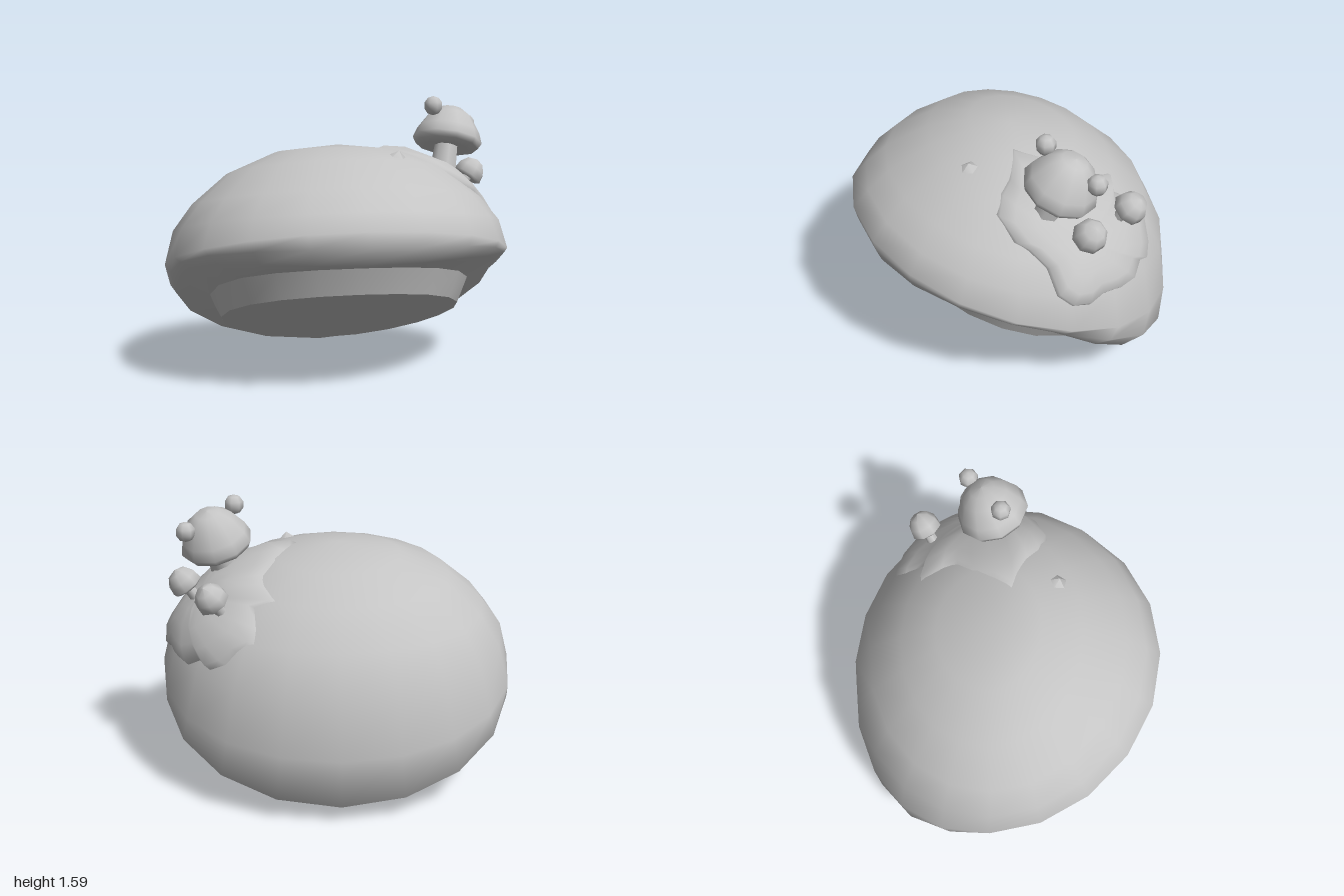
import * as THREE from 'three';
import { mergeVertices } from 'three/addons/utils/BufferGeometryUtils.js';

const SIDES = 20;
const ring = (x, front, side, back, widen = 0) => ({ x, front, side, back, widen });
const pole = (z, y) => ring(0, [z, y], [z, y], [z, y]);

// Saddle-bent rings, each given by its [z, y] at the front, side and back
const baseRing = ring(0.69, [0.65, 0.56], [0.06, 0.34], [-0.53, 0.05]);
const openingRing = ring(0.75, [0.70, 0.71], [0.04, 0.47], [-0.58, 0.08]);
const domeRings = [
  ring(1.0, [0.91, 0.93], [-0.04, 0.635], [-0.90, 0.37], 0.03),
  ring(0.95, [0.82, 1.02], [-0.04, 0.83], [-0.865, 0.67]),
  ring(0.84, [0.70, 1.13], [-0.04, 0.98], [-0.75, 0.91]),
  ring(0.64, [0.45, 1.26], [-0.05, 1.15], [-0.56, 1.09]),
  ring(0.36, [0.22, 1.31], [-0.05, 1.27], [-0.36, 1.22]),
  pole(0.0, 1.315),
];

// Point on a ring; angle 0 is the front and a quarter turn is +x
function ringPoint(r, a) {
  const c = Math.cos(a);
  const bend = (k) => r.side[k] + (r.front[k] - r.back[k]) / 2 * c
    + ((r.front[k] + r.back[k]) / 2 - r.side[k]) * c * c;
  return new THREE.Vector3(r.x * Math.sin(a) * (1 + r.widen * Math.max(0, -c)), bend(1), bend(0));
}

function domePoint(a, t) {
  const i = Math.min(Math.floor(t), domeRings.length - 2);
  return ringPoint(domeRings[i], a).lerp(ringPoint(domeRings[i + 1], a), t - i);
}

// Skin closed loops of points, ordered from the bottom up
function skin(loops) {
  const n = loops[0].length, index = [];
  for (let j = 0; j < loops.length - 1; j++) {
    for (let i = 0; i < n; i++) {
      const a = j * n + i, b = j * n + (i + 1) % n;
      index.push(a, b, b + n, a, b + n, a + n);
    }
  }
  let g = new THREE.BufferGeometry().setFromPoints(loops.flat());
  g.setIndex(index);
  g = mergeVertices(g, 1e-4);
  g.computeVertexNormals();
  return g;
}

const skinRings = (rings) => skin(rings.map((r) =>
  Array.from({ length: SIDES }, (_, i) => ringPoint(r, i / SIDES * Math.PI * 2))));

export function createModel() {
  const model = new THREE.Group();
  const grey = new THREE.MeshStandardMaterial({ color: 0xc4c4c4 });
  grey.name = 'plain grey';
  const add = (name, geometry, parent = model) => {
    const mesh = new THREE.Mesh(geometry, grey);
    mesh.name = name;
    parent.add(mesh);
    return mesh;
  };

  // Puffy hat, its inner headband and the closed underside
  add('hatShell', skinRings([
    openingRing,
    ring(0.91, [0.86, 0.75], [0.04, 0.57], [-0.69, 0.005], 0.25),
    ring(0.97, [0.89, 0.84], [0, 0.6], [-0.88, 0.1], 0.15),
    ...domeRings,
  ]));
  add('headband', skinRings([baseRing, openingRing]));
  add('underside', skinRings([pole(0.06, 0.33), baseRing]));

  // Ragged moss patch: outline as [degrees around, ring height]
  const outline = [
    [57, 2.75], [68, 2.3], [74, 2.2], [82, 1.8], [85, 1.0], [90, 0.7], [97, 0.72],
    [103, 0.95], [112, 0.95], [120, 1.0], [127, 1.3], [132, 1.2], [138, 1.45],
    [142, 1.8], [148, 2.05], [146, 2.4], [138, 2.85], [148, 3.1], [132, 3.4],
    [122, 3.6], [112, 4.0], [90, 4.25], [62, 4.35], [60, 3.6], [56, 3.2],
  ];
  const heart = new THREE.Vector3(0, 0.55, 0);
  const mossLoops = [[1, -0.015], [0.93, 0.02], [0.75, 0.04], [0.5, 0.05], [0.25, 0.05], [0, 0.05]]
    .map(([s, lift]) => outline.map(([a, t]) => {
      const p = domePoint(THREE.MathUtils.degToRad(100 + (a - 100) * s), 2.5 + (t - 2.5) * s);
      return p.sub(heart).multiplyScalar(1 + lift).add(heart);
    }));
  add('mossPatch', skin(mossLoops));

  // Little loose tuft of moss
  const tuft = add('mossTuft', new THREE.ConeGeometry(0.095, 0.07, 5));
  tuft.position.set(0.28, 1.262, 0.31);
  tuft.rotation.set(0.25, 0.4, -0.2);

  // Mushroom: cap centred at the group origin, stem hanging below
  function mushroom(name, position, axis, profile, sides, stemRadius, stemLength) {
    const g = new THREE.Group();
    g.name = name;
    g.position.set(...position);
    g.quaternion.setFromUnitVectors(new THREE.Vector3(0, 1, 0), new THREE.Vector3(...axis).normalize());
    add('mushroomCap', new THREE.LatheGeometry(profile.map((p) => new THREE.Vector2(...p)), sides), g);
    const stem = add('mushroomStem', new THREE.CylinderGeometry(stemRadius * 0.85, stemRadius, stemLength, 7), g);
    stem.position.y = -stemLength / 2;
    model.add(g);
  }

  mushroom('largeMushroom', [0.67, 1.325, -0.06], [0.22, 1, -0.33],
    [[0, -0.02], [0.13, -0.045], [0.185, -0.03], [0.205, 0.005], [0.185, 0.065],
      [0.13, 0.155], [0.07, 0.2], [0, 0.212]], 10, 0.08, 0.22);

  const smallProfile = [[0, -0.035], [0.07, -0.045], [0.092, -0.03], [0.085, 0.02], [0.055, 0.065], [0, 0.085]];
  mushroom('sideMushroom', [0.85, 1.135, -0.17], [0.55, 0.8, -0.1], smallProfile, 8, 0.035, 0.16);
  mushroom('backMushroom', [0.68, 1.125, -0.46], [0.4, 0.75, -0.4], smallProfile, 8, 0.035, 0.17);

  // Round warts on the large mushroom
  for (const p of [[0.57, 1.535, -0.015], [0.825, 1.425, -0.2]]) {
    add('wart', new THREE.SphereGeometry(0.056, 7, 5)).position.set(...p);
  }
  return model;
}
